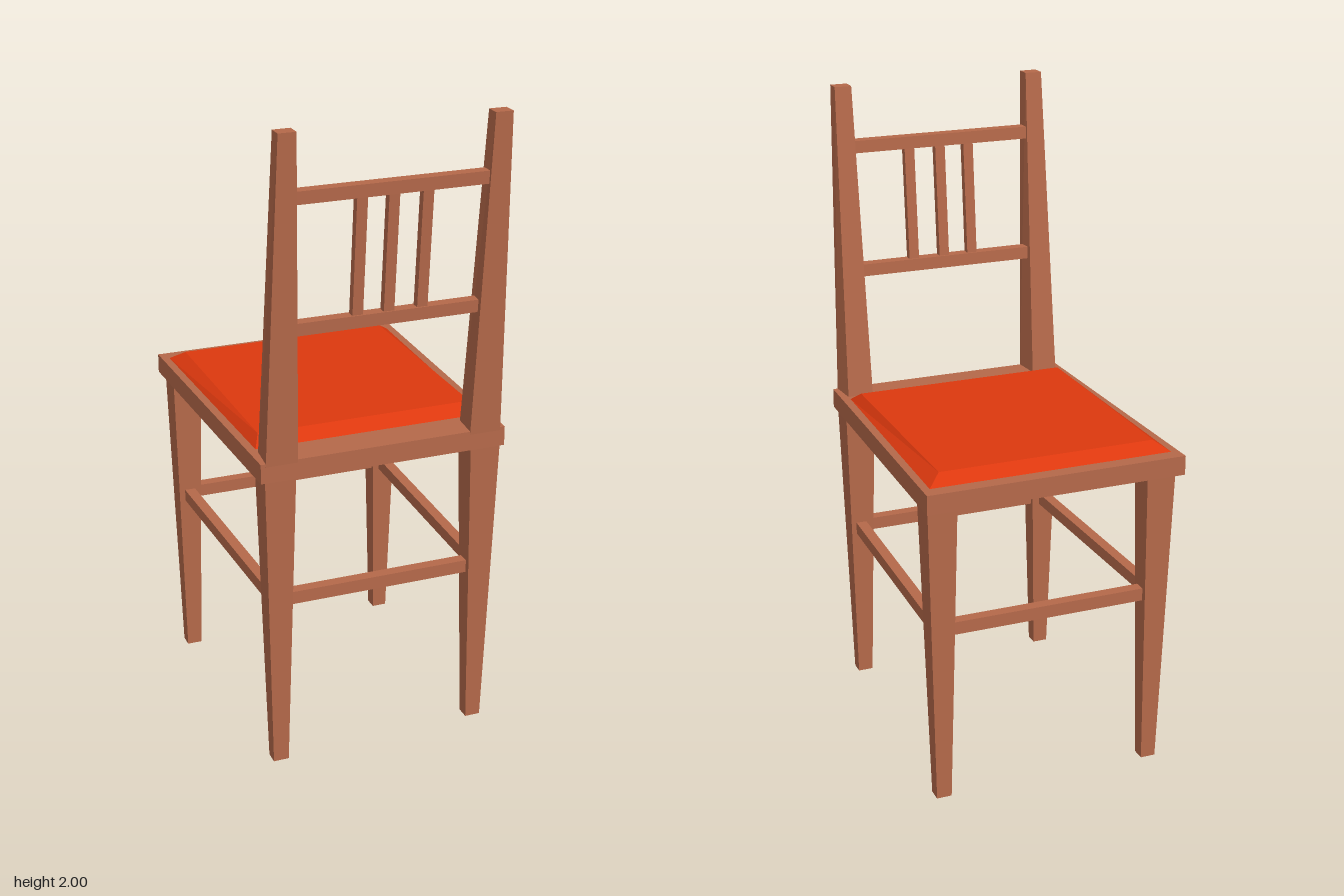
import * as THREE from 'three';

const wood = new THREE.MeshStandardMaterial({ color: 0xb5694a, flatShading: true });
const fabric = new THREE.MeshStandardMaterial({ color: 0xdc380e, flatShading: true });

// Horizontal trapezoid at height y: x range a at depth z0, x range b at depth z1.
const section = (y, z0, z1, a, b = a) => ({ y, z0, z1, a, b });

// Solid between a lower and an upper section, made by moving a box's corners.
function block(name, low, high, material = wood) {
  const g = new THREE.BoxGeometry(1, 1, 1);
  const p = g.attributes.position;
  for (let i = 0; i < p.count; i++) {
    const s = p.getY(i) < 0 ? low : high;
    const back = p.getZ(i) > 0;
    const range = back ? s.b : s.a;
    p.setXYZ(i, range[p.getX(i) > 0 ? 1 : 0], s.y, back ? s.z1 : s.z0);
  }
  g.computeVertexNormals();
  const mesh = new THREE.Mesh(g, material);
  mesh.name = name;
  return mesh;
}

export function createModel() {
  const chair = new THREE.Group();
  chair.name = 'chair';
  const add = (...args) => chair.add(block(...args));
  const half = (w) => [-w, w];

  // Seat frame, narrower towards the backrest, and its bevelled cushion
  add('seatFrame', section(0.97, -0.5, 0.44, half(0.405), half(0.383)),
    section(1.03, -0.5, 0.44, half(0.405), half(0.383)));
  add('cushion', section(1.03, -0.455, 0.33, half(0.38), half(0.36)),
    section(1.06, -0.415, 0.287, half(0.338)), fabric);

  for (const side of [-1, 1]) {
    const label = side > 0 ? 'Left' : 'Right';
    const span = (inner, outer) => (side > 0 ? [inner, outer] : [-outer, -inner]);

    // Tapered legs, the back pair slightly shorter
    add('frontLeg' + label, section(side > 0 ? 0.01 : 0, -0.443, -0.4, span(0.318, 0.365)),
      section(0.98, -0.465, -0.378, span(0.3, 0.392)));
    add('backLeg' + label, section(side > 0 ? 0.035 : 0.02, 0.37, 0.412, span(0.297, 0.345)),
      section(0.98, 0.35, 0.437, span(0.275, 0.37)));

    // Backward-leaning backrest posts
    add('backPost' + label, section(1.02, 0.35, 0.44, span(0.278, 0.36), span(0.27, 0.368)),
      section(2, 0.455, 0.5, span(0.29, 0.343)));

    // Side stretchers
    const front = span(0.329, 0.363), rear = span(0.308, 0.342);
    add('sideStretcher' + label, section(0.548, -0.42, 0.39, front, rear),
      section(0.586, -0.42, 0.39, front, rear));
  }

  // Front and back stretchers
  for (const [name, z, w] of [['frontStretcher', -0.42, 0.33], ['backStretcher', 0.39, 0.31]]) {
    add(name, section(0.548, z - 0.018, z + 0.018, half(w)),
      section(0.588, z - 0.018, z + 0.018, half(w)));
  }

  // Backrest rails
  add('lowerRail', section(1.405, 0.408, 0.445, half(0.3)), section(1.443, 0.41, 0.447, half(0.3)));
  add('upperRail', section(1.793, 0.441, 0.478, half(0.3)), section(1.831, 0.443, 0.48, half(0.3)));

  // Backrest slats
  for (const x of [-0.09, 0.005, 0.107]) {
    const range = [x - 0.016, x + 0.016];
    add('slat', section(1.435, 0.416, 0.441, range), section(1.8, 0.448, 0.473, range));
  }
  return chair;
}
